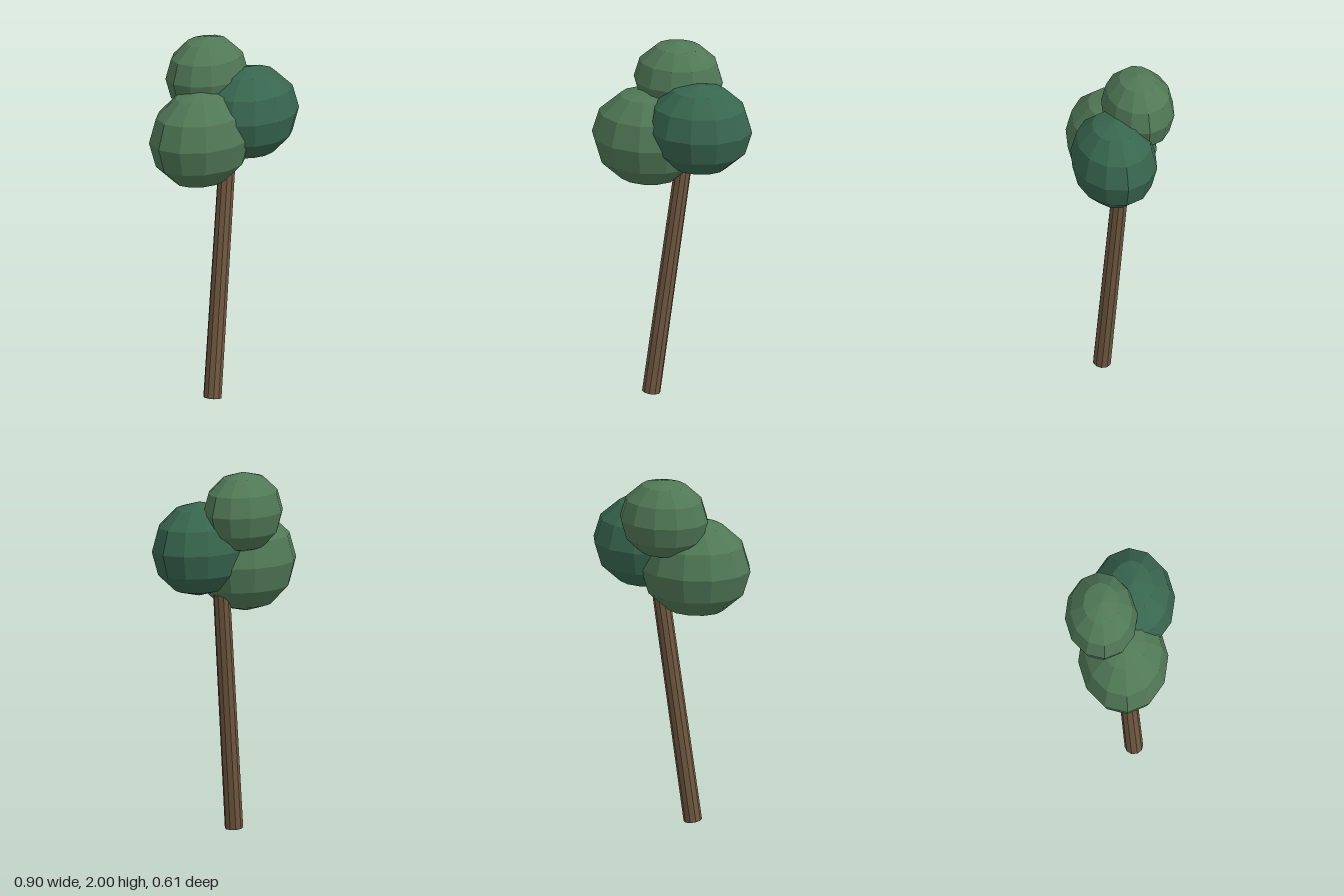
import * as THREE from 'three';

const makeMaterial = (color) => new THREE.MeshStandardMaterial({ color, flatShading: true });

export function createModel() {
  const tree = new THREE.Group();
  tree.name = 'tree';

  // Leaning trunk, slightly tapered, ending inside the foliage
  const foot = new THREE.Vector3(-0.11, 0.008, 0.06);
  const tip = new THREE.Vector3(0.07, 1.45, -0.005);
  const axis = tip.clone().sub(foot);
  const trunk = new THREE.Mesh(
    new THREE.CylinderGeometry(0.046, 0.05, axis.length(), 10),
    makeMaterial(0x705840)
  );
  trunk.name = 'trunk';
  trunk.position.copy(foot).add(tip).multiplyScalar(0.5);
  trunk.quaternion.setFromUnitVectors(new THREE.Vector3(0, 1, 0), axis.normalize());
  tree.add(trunk);

  // Overlapping faceted foliage clumps, squashed in height and depth
  const leaf = makeMaterial(0x507856);
  const darkLeaf = makeMaterial(0x38664f);
  const clumps = [
    ['rightFoliage', leaf, [-0.14, 1.48, 0], [0.31, 0.275, 0.244]],
    ['leftFoliage', darkLeaf, [0.158, 1.578, 0.07], [0.291, 0.258, 0.233]],
    ['topFoliage', leaf, [0.004, 1.78, -0.108], [0.246, 0.22, 0.197]],
  ];
  for (const [name, material, position, radii] of clumps) {
    const geometry = new THREE.SphereGeometry(1, 12, 6).scale(...radii);
    const clump = new THREE.Mesh(geometry, material);
    clump.name = name;
    clump.position.set(...position);
    tree.add(clump);
  }
  return tree;
}
